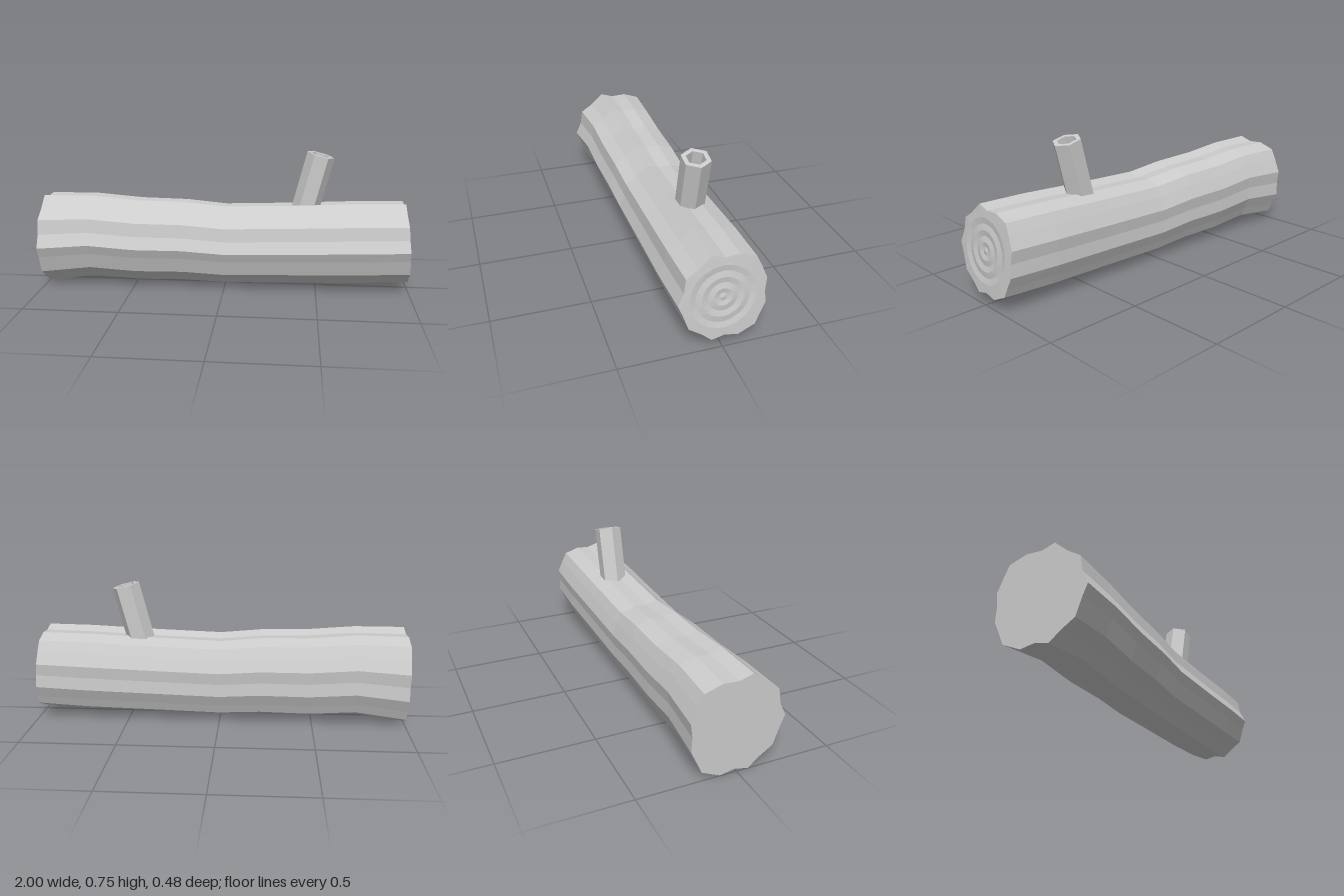
import * as THREE from 'three';

// Fluted bark outline as [z, y], running from the top towards +z and round
const OUTLINE = [
  [0.061, 0.497], [0.132, 0.434], [0.199, 0.39], [0.211, 0.312], [0.243, 0.243],
  [0.219, 0.187], [0.187, 0.095], [0.118, 0.049], [0.061, 0.002], [-0.01, 0.018],
  [-0.085, 0.004], [-0.18, 0.047], [-0.203, 0.1], [-0.235, 0.168], [-0.231, 0.243],
  [-0.24, 0.314], [-0.209, 0.39], [-0.18, 0.45], [-0.09, 0.48], [-0.01, 0.475],
].map(([z, y]) => [z, y - 0.2495]);

// Trunk stations: x, centre height, scale, end tilt
const STATIONS = [
  [-1, 0.2515, 1, 0], [-0.73, 0.27, 0.93, 0], [-0.48, 0.2525, 0.92, 0],
  [-0.22, 0.2525, 0.9, 0], [0, 0.2375, 0.88, 0], [0.36, 0.249, 0.885, 0],
  [0.72, 0.2625, 0.9, 0], [0.982, 0.272, 0.88, 0.08],
];

// One cross-section; round blends the fluted outline towards a circle
function section([x, cy, scale, tilt], round = 0) {
  return OUTLINE.map(([z, y]) => {
    const k = scale * THREE.MathUtils.lerp(1, 0.23 / Math.hypot(z, y), round);
    return [x - tilt * y * k, cy + y * k, z * k];
  });
}

// Skin a run of cross-sections ordered from -x to +x
function loft(rings) {
  const n = OUTLINE.length;
  const index = [];
  for (let i = 0; i < rings.length - 1; i++) {
    for (let j = 0; j < n; j++) {
      const k = (j + 1) % n;
      const a = i * n + j, b = i * n + k, c = a + n, d = b + n;
      index.push(a, b, c, b, d, c);
    }
  }
  const geometry = new THREE.BufferGeometry();
  geometry.setAttribute('position', new THREE.Float32BufferAttribute(rings.flat(2), 3));
  geometry.setIndex(index);
  geometry.computeVertexNormals();
  return geometry;
}

export function createModel() {
  const group = new THREE.Group();
  const material = new THREE.MeshStandardMaterial({
    color: 0xcccccc, flatShading: true, side: THREE.DoubleSide,
  });
  const add = (name, geometry) => {
    const mesh = new THREE.Mesh(geometry, material);
    mesh.name = name;
    group.add(mesh);
    return mesh;
  };

  // Bark-covered trunk
  add('trunk', loft(STATIONS.map((s) => section(s))));

  // Flat cut at the thick end
  const [x0, y0] = STATIONS[0];
  add('flatCutEnd', loft([section([x0, y0, 0, 0]), section(STATIONS[0])]));

  // Cut at the thin end, with shallow growth rings
  const [x1, y1, s1, tilt] = STATIONS[STATIONS.length - 1];
  const rings = [section(STATIONS[STATIONS.length - 1])];
  [0.8, 0.65, 0.5, 0.36, 0.22, 0.1, 0].forEach((f, i) => {
    rings.push(section([x1 + (i % 2 ? -0.003 : 0.002), y1, s1 * f, tilt], 1));
  });
  add('ringedCutEnd', loft(rings));

  // Hollow six-sided branch stub, leaning towards the thin end
  const profile = [[0.075, -0.36], [0.075, 0], [0.05, 0], [0.045, -0.12], [0, -0.12]]
    .map(([r, y]) => new THREE.Vector2(r, y));
  const branch = add('branchStub', new THREE.LatheGeometry(profile, 6, Math.PI / 2));
  branch.position.set(0.512, 0.732, -0.034);
  branch.rotation.z = -0.25;

  return group;
}
